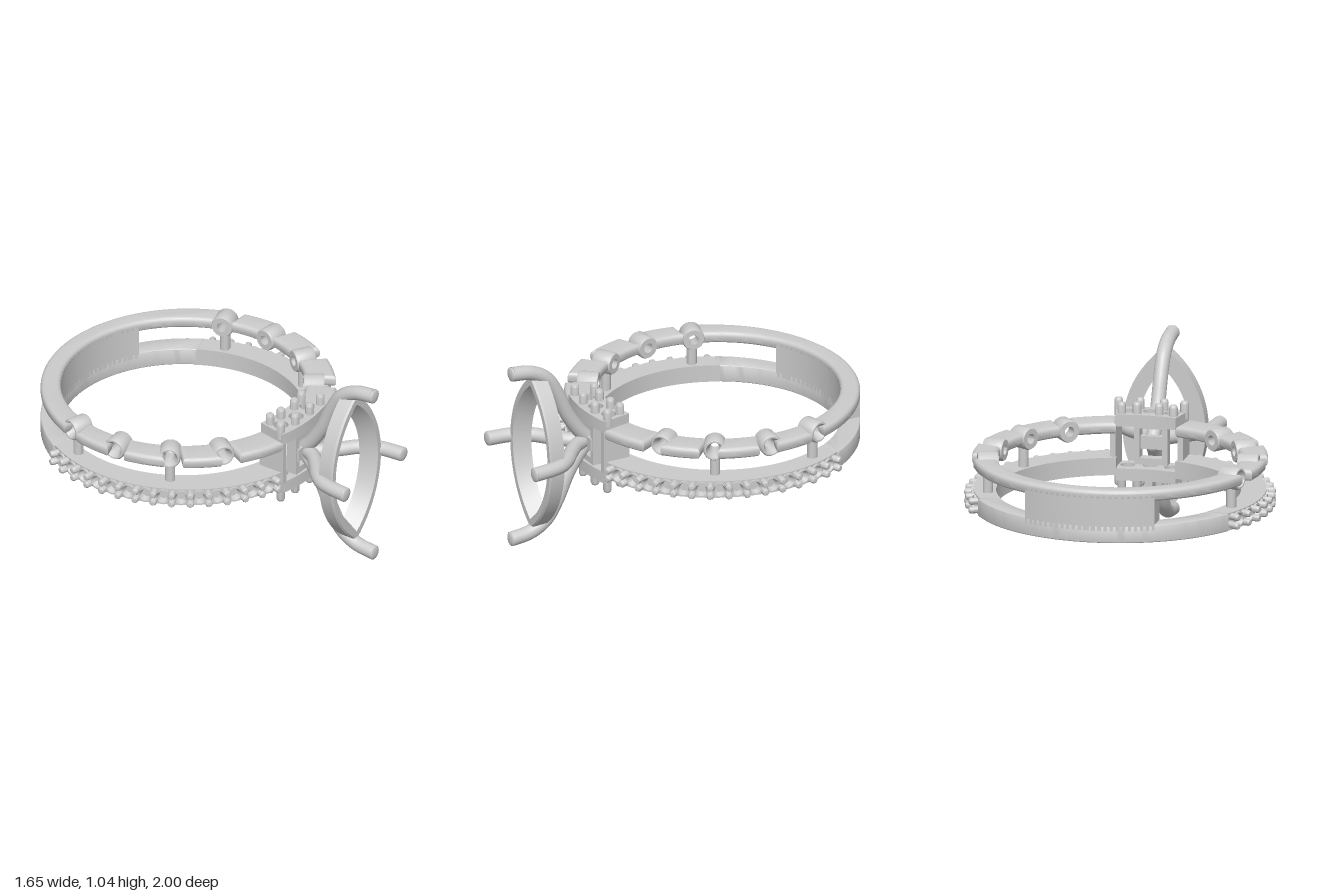
import * as THREE from 'three';
import { toCreasedNormals } from 'three/addons/utils/BufferGeometryUtils.js';

const metal = new THREE.MeshStandardMaterial({ color: 0xcccccc, side: THREE.DoubleSide });
const MID_Y = 0.525, INNER_Z = -0.255, OUTER_Z = -0.22, INNER_R = 0.645, OUTER_R = 0.78;
const UP = new THREE.Vector3(0, 1, 0);

// Points on the inner and outer circles; angle 0 is the front, growing towards +x
const at = (r, a, cz) => new THREE.Vector3(r * Math.sin(a), 0, cz + r * Math.cos(a));

function add(parent, name, geometry, crease = 0.6) {
  const mesh = new THREE.Mesh(crease ? toCreasedNormals(geometry, crease) : geometry, metal);
  mesh.name = name;
  parent.add(mesh);
  return mesh;
}

// Plan outline between two angles, bounded by the inner and outer circles
function arcShape(a0, a1, outer = OUTER_R, b0 = a0, b1 = a1) {
  const n = Math.max(6, Math.ceil((a1 - a0) * 24)), pts = [];
  for (let i = 0; i <= n; i++) {
    const p = at(outer, a0 + (a1 - a0) * i / n, OUTER_Z);
    pts.push(new THREE.Vector2(p.x, -p.z));
  }
  for (let i = n; i >= 0; i--) {
    const p = at(INNER_R, b0 + (b1 - b0) * i / n, INNER_Z);
    pts.push(new THREE.Vector2(p.x, -p.z));
  }
  return new THREE.Shape(pts);
}

// Plan shape raised from y0 to y1, with rounded edges
function raise(shape, y0, y1, bevel = 0) {
  const g = new THREE.ExtrudeGeometry(shape, {
    depth: y1 - y0 - 2 * bevel, curveSegments: 20, bevelEnabled: bevel > 0,
    bevelSize: bevel, bevelThickness: bevel, bevelOffset: -bevel, bevelSegments: 4,
  });
  return g.rotateX(-Math.PI / 2).translate(0, y0 + bevel, 0);
}

function lathe(profile, seg = 24) {
  return new THREE.LatheGeometry(profile.map(p => new THREE.Vector2(...p)), seg);
}

// Place a y-axis part so that it points outwards from the band
function radial(mesh, a, r, y, cz) {
  mesh.position.copy(at(r, a, cz)).setY(y);
  mesh.quaternion.setFromUnitVectors(UP, new THREE.Vector3(Math.sin(a), 0, Math.cos(a)));
}

// Round-ended peg rising from y = 0
const peg = (r, h) => lathe([[0, 0], [r, 0], [r, h - r * 0.7], [r * 0.75, h - r * 0.2], [0, h]], 14);

function buildBand(group) {
  const seatAngles = [0.65, 1.044, 1.459, 1.872], HEAD = 0.25, gap = 0.062, beadEnd = 2.09;
  const tau = Math.PI * 2;

  // Upper rail, interrupted by the stone seats
  const stops = [HEAD, ...seatAngles.flatMap(a => [a - gap, a + gap])];
  for (let i = 0; i < 8; i += 2) {
    add(group, 'upperRail', raise(arcShape(stops[i], stops[i + 1]), 0.597, 0.66, 0.022));
    add(group, 'upperRail', raise(arcShape(tau - stops[i + 1], tau - stops[i]), 0.597, 0.66, 0.022));
  }
  add(group, 'upperRail', raise(arcShape(stops[8], tau - stops[8]), 0.597, 0.66, 0.022));

  // Plain lower rail and solid back with upright cut ends
  add(group, 'lowerRail', raise(arcShape(beadEnd, tau - beadEnd), 0.375, 0.47, 0.006));
  const o = Math.PI - Math.asin(0.35 / OUTER_R), n = Math.PI - Math.asin(0.35 / INNER_R);
  add(group, 'solidBack', raise(arcShape(o, tau - o, OUTER_R, n, tau - n), 0.44, 0.64));

  const seat = lathe([[0.055, -0.055], [0.06, -0.045], [0.06, 0.045], [0.054, 0.055],
    [0.046, 0.055], [0.027, 0.015], [0.027, -0.055], [0.055, -0.055]], 28);
  const smallSeat = lathe([[0.043, 0], [0.043, 0.042], [0.034, 0.042], [0.022, 0.012], [0, 0.012]], 18);
  const bead = peg(0.019, 0.085);

  for (const s of [1, -1]) {
    const span = (a, b) => s > 0 ? [a, b] : [tau - b, tau - a];
    // Beaded part of the lower rail
    add(group, 'beadedRail', raise(arcShape(...span(HEAD, beadEnd), 0.752), 0.375, 0.47));
    for (const y of [0.375, 0.456])
      add(group, 'beadRim', raise(arcShape(...span(HEAD, beadEnd), 0.772), y, y + 0.014));
    for (let i = 0; i < 15; i++) {
      const a = 0.318 + i * 0.123;
      for (const y of [0.4, 0.447]) radial(add(group, 'bead', bead), s * a, 0.738, y, OUTER_Z);
      if (i < 14) radial(add(group, 'smallSeat', smallSeat), s * (a + 0.0615), 0.742, 0.423, OUTER_Z);
    }
    // Round seats on the upper rail, alternate ones carried on posts
    seatAngles.forEach((a, i) => {
      radial(add(group, 'stoneSeat', seat), s * a, 0.69, 0.628, INNER_Z);
      if (i % 2) {
        const post = add(group, 'seatPost', new THREE.CylinderGeometry(0.027, 0.027, 0.14, 18));
        post.position.copy(at(0.69, s * a, INNER_Z)).setY(0.525);
      }
    });
  }
}

function buildGallery(group) {
  // Curved plates with three stone holes and eight beads each
  const plate = arcShape(-0.255, 0.255);
  for (const x of [-0.118, 0, 0.118]) {
    const hole = new THREE.Path();
    hole.absarc(x, -(0.48 - x * x), 0.04, 0, Math.PI * 2, true);
    plate.holes.push(hole);
  }
  const plateGeo = raise(plate, 0.64, 0.705), bead = peg(0.023, 0.1);
  const half = new THREE.Group();
  half.name = 'galleryPlate';
  add(half, 'plate', plateGeo);
  for (const s of [1, -1])
    for (const [x, z] of [[0.06, 0.425], [0.14, 0.412], [0.065, 0.52], [0.178, 0.508]])
      add(half, 'plateBead', bead).position.set(s * x, 0.668, z);
  const lower = half.clone();
  lower.rotation.z = Math.PI;
  lower.position.y = 2 * MID_Y;
  group.add(half, lower);

  // Side walls and the window frame in the middle
  for (const s of [1, -1]) {
    add(group, 'galleryWall', new THREE.BoxGeometry(0.03, 0.24, 0.155)).position.set(s * 0.183, MID_Y, 0.462);
    add(group, 'framePost', new THREE.BoxGeometry(0.03, 0.24, 0.06)).position.set(s * 0.075, MID_Y, 0.515);
    add(group, 'frameBar', new THREE.BoxGeometry(0.18, 0.04, 0.06)).position.set(0, MID_Y + s * 0.1, 0.515);
  }
  add(group, 'prongBase', new THREE.BoxGeometry(0.16, 0.07, 0.05)).position.set(0, MID_Y, 0.53);
}

// Point on a pointed oval of half width w and half height h
function marquise(w, h, i, n) {
  const side = i < n ? 1 : -1, t = (i % n) / n;
  const R = (h * h + w * w) / (2 * w), A = Math.asin(h / R), a = A * (2 * t - 1);
  return [side * (R * Math.cos(a) - (R - w)), side * R * Math.sin(a)];
}

// Pointed oval frame lofted through a closed cross-section
function marquiseFrame() {
  const section = [[0.225, 0.445, 0.79], [0.225, 0.445, 0.865], [0.217, 0.435, 0.875],
    [0.19, 0.39, 0.875], [0.14, 0.33, 0.79]];
  const n = 24, m = section.length, pos = [], idx = [];
  for (let i = 0; i < 2 * n; i++)
    for (let j = 0; j < m; j++) {
      const [w, h, z] = section[j], [x, y] = marquise(w, h, i, n);
      pos.push(x, y + MID_Y, z);
      const a = i * m + j, b = i * m + (j + 1) % m;
      const k = ((i + 1) % (2 * n)) * m, c = k + j, d = k + (j + 1) % m;
      idx.push(a, c, b, b, c, d);
    }
  const g = new THREE.BufferGeometry();
  g.setAttribute('position', new THREE.Float32BufferAttribute(pos, 3));
  g.setIndex(idx);
  return g;
}

function buildHead(group) {
  add(group, 'bezel', marquiseFrame(), 0.4);

  // Curved prongs: [distance from the axis, z]
  const tall = [[0.02, 0.54], [0.07, 0.585], [0.17, 0.65], [0.31, 0.715], [0.41, 0.78], [0.462, 0.87], [0.48, 0.987]];
  const wide = [[0.0, 0.55], [0.04, 0.62], [0.11, 0.69], [0.18, 0.75], [0.225, 0.81], [0.245, 0.88], [0.257, 0.987]];
  const prong = (name, path, dx, dy) => {
    const pts = path.map(([d, z]) => new THREE.Vector3(dx * d, MID_Y + dy * d, z));
    add(group, name, new THREE.TubeGeometry(new THREE.CatmullRomCurve3(pts), 40, 0.039, 18), 0);
    const tip = add(group, name + 'Tip', new THREE.SphereGeometry(0.039, 18, 12), 0);
    tip.scale.z = 0.33;
    tip.position.copy(pts[pts.length - 1]);
  };
  for (const s of [1, -1]) {
    prong('tallProng', tall, 0, s);
    prong('sideProng', wide, s, 0);
  }
}

export function createModel() {
  const model = new THREE.Group();
  model.name = 'ring';
  for (const [name, build] of [['band', buildBand], ['gallery', buildGallery], ['head', buildHead]]) {
    const part = new THREE.Group();
    part.name = name;
    build(part);
    model.add(part);
  }
  return model;
}
